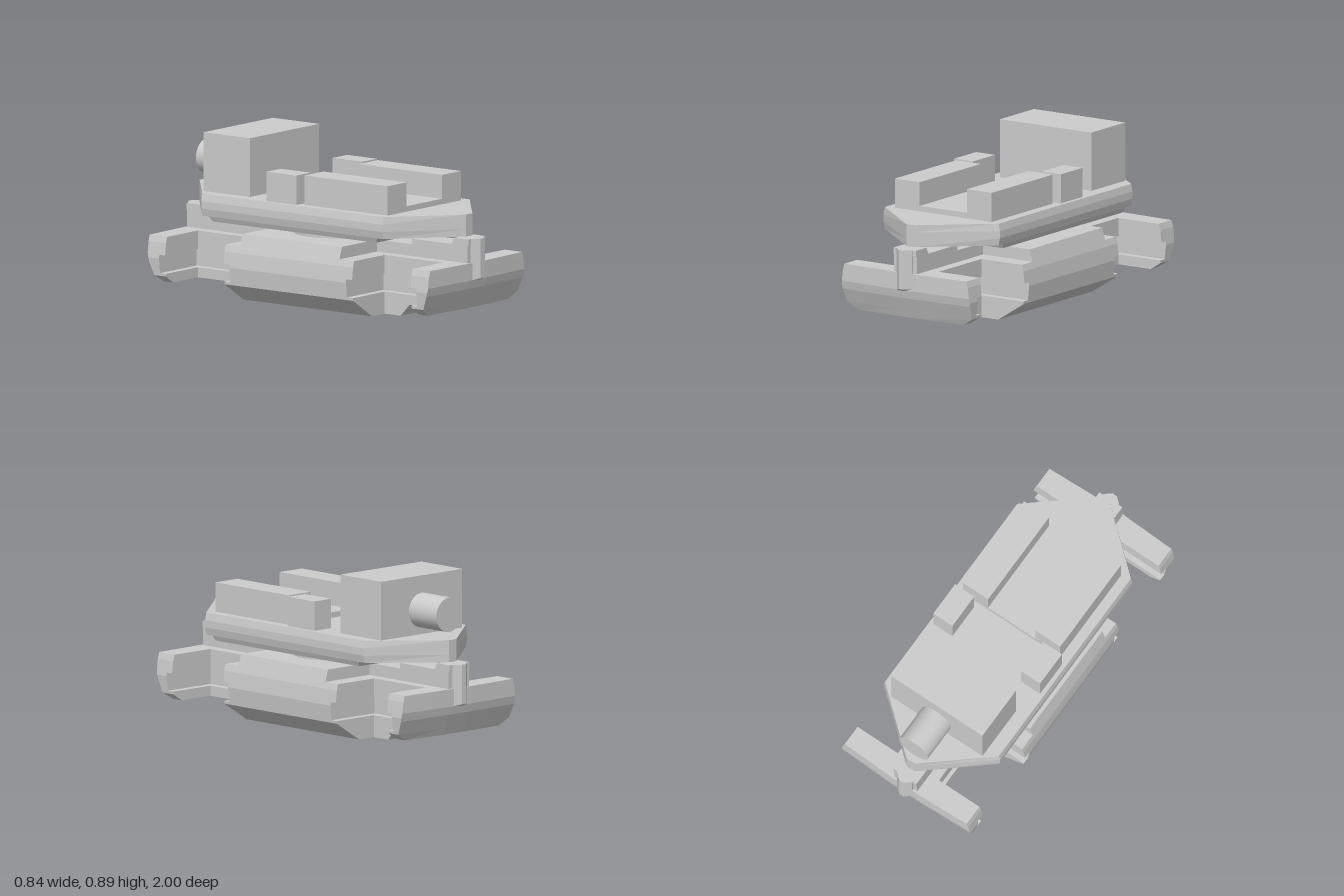
import * as THREE from 'three';

const grey = new THREE.MeshStandardMaterial({ color: 0xcccccc, flatShading: true });
const smooth = new THREE.MeshStandardMaterial({ color: 0xcccccc });

function add(parent, name, geometry, material = grey) {
  const mesh = new THREE.Mesh(geometry, material);
  mesh.name = name;
  parent.add(mesh);
  return mesh;
}

// Stack of convex horizontal rings [x, z], listed from front left to front right and round
function loft(levels) {
  const pos = [];
  const tri = (...pts) => pts.forEach((p) => pos.push(...p));
  const rings = levels.map(([y, ring]) => ring.map(([x, z]) => [x, y, z]));
  const n = rings[0].length;
  for (let k = 0; k + 1 < rings.length; k++) {
    for (let i = 0; i < n; i++) {
      const j = (i + 1) % n;
      const a = rings[k][i], b = rings[k][j], c = rings[k + 1][j], d = rings[k + 1][i];
      tri(a, b, c);
      tri(a, c, d);
    }
  }
  const low = rings[0], top = rings[rings.length - 1];
  for (let i = 1; i + 1 < n; i++) {
    tri(low[0], low[i + 1], low[i]);
    tri(top[0], top[i], top[i + 1]);
  }
  const g = new THREE.BufferGeometry();
  g.setAttribute('position', new THREE.Float32BufferAttribute(pos, 3));
  g.computeVertexNormals();
  return g;
}

const rect = (w, z0, z1) => [[-w, z1], [w, z1], [w, z0], [-w, z0]];

function box(parent, name, x0, x1, y0, y1, z0, z1) {
  const g = new THREE.BoxGeometry(x1 - x0, y1 - y0, z1 - z0);
  g.translate((x0 + x1) / 2, (y0 + y1) / 2, (z0 + z1) / 2);
  return add(parent, name, g);
}

function interpolate(points, v) {
  for (let i = 0; i + 1 < points.length; i++) {
    const [a, p] = points[i], [b, q] = points[i + 1];
    if (v <= b) return p + ((q - p) * (v - a)) / (b - a);
  }
  return points[points.length - 1][1];
}

// Half width of the hull and depth of the bumper face, by height
const hullWidth = (y) => interpolate([[0, 0.245], [0.105, 0.41], [0.2, 0.42], [0.285, 0.41], [0.385, 0.38]], y);
const bumperFace = (y) => interpolate([[0.065, 0.905], [0.18, 0.95], [0.225, 0.96], [0.32, 0.96]], y);

function disc(parent, name, r, y0, y1) {
  const g = new THREE.CylinderGeometry(r, r, y1 - y0, 40);
  g.translate(0, (y0 + y1) / 2, 0);
  return add(parent, name, g, smooth);
}

// One end of the chassis: neck, bumper and post
function createEnd() {
  const end = new THREE.Group();
  add(end, 'neckKeel', loft([
    [0, rect(0.135, 0, 0.55)], [0.065, rect(0.135, 0, 0.61)],
  ]));
  box(end, 'neckFloor', -0.135, 0.135, 0.065, 0.12, 0, 0.86);
  box(end, 'neckGroove', -0.095, 0.095, 0.12, 0.22, 0, 0.9);
  box(end, 'neckMiddle', -0.135, 0.135, 0.22, 0.32, 0, 0.86);
  box(end, 'neckSpine', -0.075, 0.075, 0.32, 0.385, 0, 0.96);
  box(end, 'neckStep', -0.075, 0.075, 0.385, 0.415, 0.58, 0.96);
  add(end, 'neckTop', loft([
    [0.415, rect(0.075, 0.85, 0.965)], [0.45, rect(0.075, 0.87, 0.965)],
  ]));

  // Bumper in three layers, the middle one grooved at the back
  const layers = [
    [0.84, [0.065, 0.105, 0.12]],
    [0.88, [0.12, 0.18, 0.2, 0.22]],
    [0.84, [0.22, 0.225, 0.285, 0.32]],
  ];
  for (const [back, ys] of layers) {
    add(end, 'bumper', loft(ys.map((y) => {
      const w = hullWidth(y), z = bumperFace(y);
      return [y, [[-w, z], [-0.075, z + 0.012], [0.075, z + 0.012], [w, z], [w, back], [-w, back]]];
    })));
  }

  // Faceted post
  const post = (d) => [[-0.05, 0.97], [-0.015, 1 - d], [0.015, 1 - d], [0.05, 0.97], [0.05, 0.92], [-0.05, 0.92]];
  add(end, 'post', loft([[0.225, post(0.01)], [0.235, post(0)], [0.45, post(0)]]));
  return end;
}

export function createModel() {
  const model = new THREE.Group();
  model.name = 'vehicle';

  // Hull in layers, stepped at both ends around the wheel wells
  const layers = [
    [0.44, [0, 0.105, 0.12]],
    [0.4, [0.12, 0.2, 0.22]],
    [0.44, [0.22, 0.285, 0.32]],
    [0.34, [0.32, 0.385]],
  ];
  for (const [z, ys] of layers) {
    add(model, 'hull', loft(ys.map((y) => [y, rect(hullWidth(y), -z, z)])));
  }

  // Matching front and back ends
  for (const name of ['frontEnd', 'backEnd']) {
    const end = createEnd();
    end.name = name;
    if (name === 'backEnd') end.rotation.y = Math.PI;
    model.add(end);
  }

  // Turntable between hull and deck
  disc(model, 'turntableLower', 0.23, 0.38, 0.41);
  disc(model, 'turntableUpper', 0.29, 0.41, 0.432);
  add(model, 'deckUnderside', loft([
    [0.428, rect(0.36, -0.56, 0.56)], [0.456, rect(0.372, -0.575, 0.575)],
  ]));

  // Deck with pointed ends and bulging sides
  const deck = (w) => [
    [-w, 0.62], [-0.027, 0.913], [0.027, 0.913], [w, 0.62],
    [w, -0.62], [0.027, -0.913], [-0.027, -0.913], [-w, -0.62],
  ];
  add(model, 'deck', loft([
    [0.455, deck(0.373)], [0.495, deck(0.382)], [0.535, deck(0.382)], [0.575, deck(0.373)],
  ]));

  // Pods on both sides of the deck
  for (const s of [-1, 1]) {
    const pair = (a, b) => (s > 0 ? [a, b] : [-b, -a]);
    box(model, 'longPod', ...pair(0.155, 0.318), 0.57, 0.735, 0.035, 0.605);
    box(model, 'shortPod', ...pair(0.225, 0.35), 0.57, 0.735, -0.2, 0.005);
  }
  box(model, 'podFloor', -0.155, 0.155, 0.57, 0.605, 0.035, 0.605);

  // Rear housing with a round outlet
  box(model, 'rearHousing', -0.3, 0.3, 0.57, 0.895, -0.67, -0.352);
  const outlet = new THREE.CylinderGeometry(0.094, 0.094, 0.23, 32);
  outlet.rotateX(Math.PI / 2);
  outlet.translate(0, 0.707, -0.77);
  add(model, 'rearOutlet', outlet, smooth);

  return model;
}
